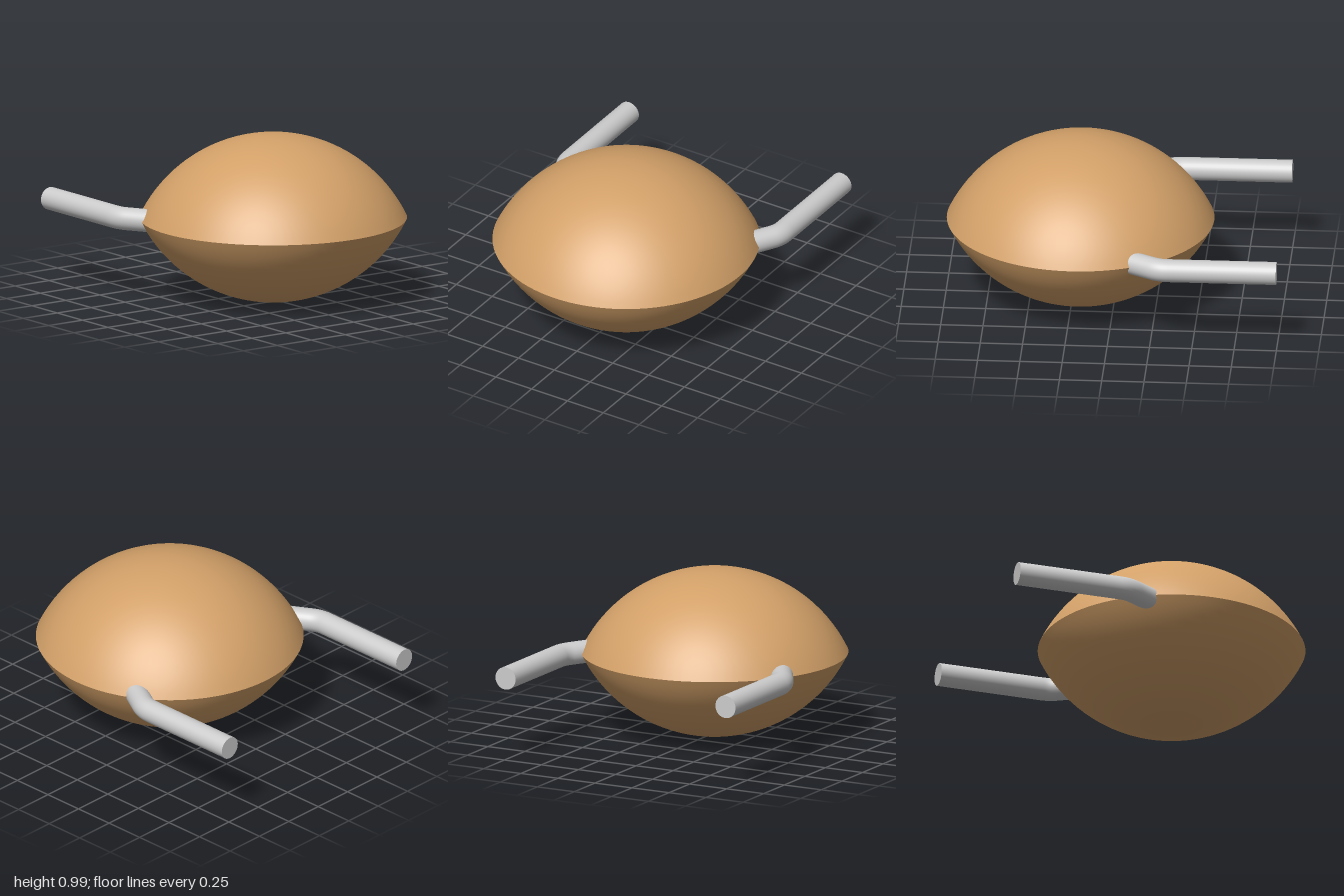
import * as THREE from 'three';

const RIM = 0.79, CAP = 0.496, MID_Y = 0.497, BODY_Z = 0.205;

// Dome profile as a circular arc from the rim (angle a) to the pole
function domeProfile(sign) {
  const R = (RIM * RIM + CAP * CAP) / (2 * CAP);
  const a = Math.asin(RIM / R);
  const points = [];
  const steps = 24;
  for (let i = 0; i <= steps; i++) {
    const t = a * (1 - i / steps);
    points.push(new THREE.Vector2(R * Math.sin(t), sign * (R * Math.cos(t) - (R - CAP))));
  }
  // Lathe profiles run bottom to top so the faces point outward
  return sign > 0 ? points : points.reverse();
}

// Rod with one bend, running from the back into the rim; side is +1 (left) or -1 (right)
function createRod(side, material) {
  const rod = new THREE.Group();
  const radius = 0.068;
  const v = (x, z) => new THREE.Vector3(side * x, 0, z);
  const path = new THREE.CurvePath();
  path.add(new THREE.LineCurve3(v(0.742, -1), v(0.742, -0.36)));
  path.add(new THREE.QuadraticBezierCurve3(v(0.742, -0.36), v(0.742, -0.31), v(0.717, -0.267)));
  path.add(new THREE.LineCurve3(v(0.717, -0.267), v(0.62, -0.1)));
  const tube = new THREE.Mesh(new THREE.TubeGeometry(path, 60, radius, 32), material);
  tube.name = 'rodTube';

  // Flat caps at the rear end and at the end inside the body
  const rearCap = new THREE.Mesh(new THREE.CircleGeometry(radius, 32), material);
  rearCap.name = 'rodRearCap';
  rearCap.position.copy(v(0.742, -1));
  rearCap.rotation.y = Math.PI;
  const innerCap = new THREE.Mesh(new THREE.CircleGeometry(radius, 32), material);
  innerCap.name = 'rodInnerCap';
  innerCap.position.copy(v(0.62, -0.1));
  innerCap.rotation.y = -side * Math.PI / 6;

  rod.add(tube, rearCap, innerCap);
  rod.position.y = MID_Y;
  rod.name = side > 0 ? 'leftRod' : 'rightRod';
  return rod;
}

export function createModel() {
  const model = new THREE.Group();
  model.name = 'lensBodyWithRods';
  const tan = new THREE.MeshStandardMaterial({ color: 0xd2a068 });
  const grey = new THREE.MeshStandardMaterial({ color: 0xcccccc });

  // Two domes meeting in a sharp rim
  for (const sign of [1, -1]) {
    const dome = new THREE.Mesh(new THREE.LatheGeometry(domeProfile(sign), 96), tan);
    dome.name = sign > 0 ? 'upperDome' : 'lowerDome';
    dome.position.set(0, MID_Y, BODY_Z);
    model.add(dome);
  }

  for (const side of [1, -1]) model.add(createRod(side, grey));
  return model;
}
